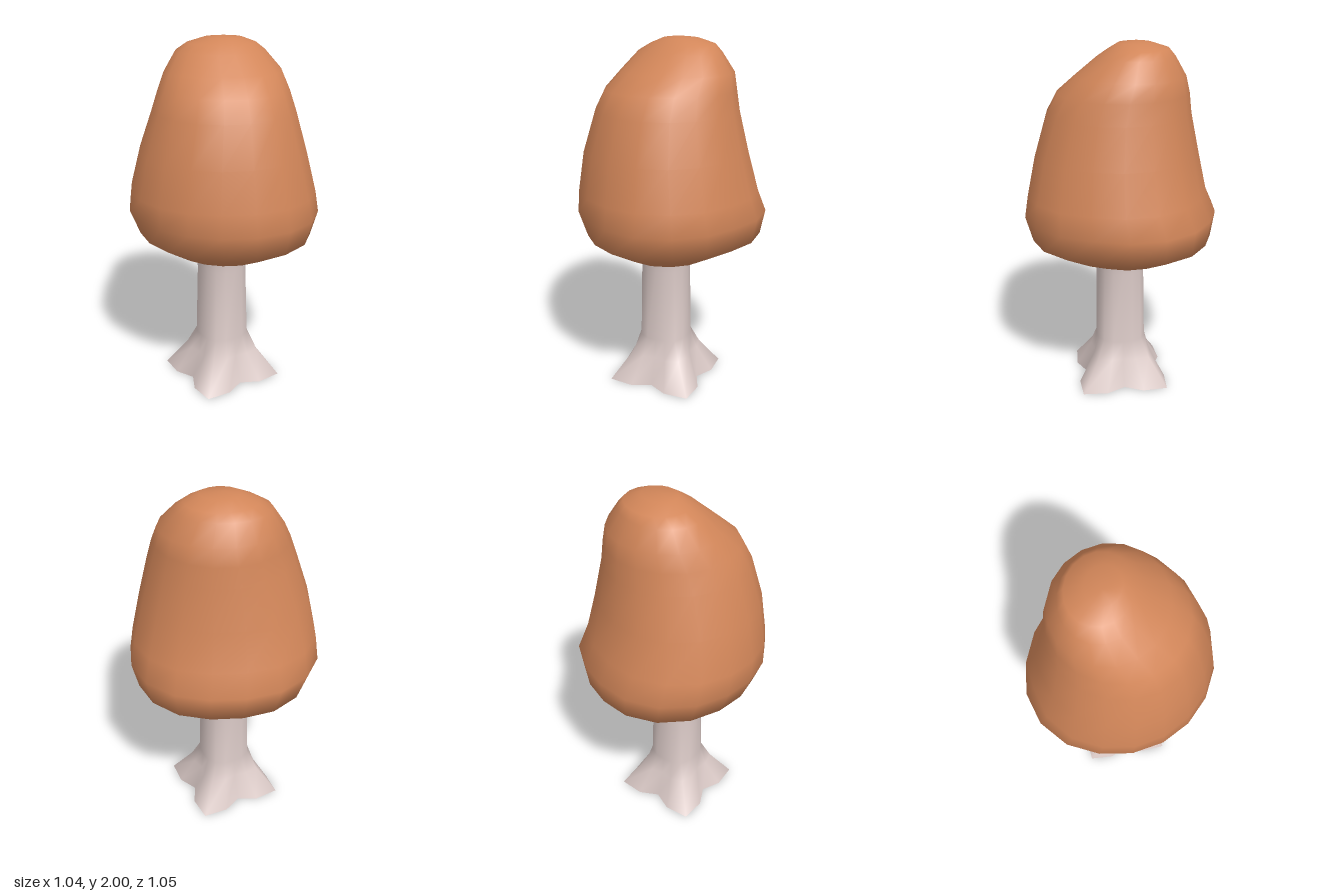
import * as THREE from 'three';

const crownMat = new THREE.MeshStandardMaterial({ color: 0xd28659 });
crownMat.name = 'orange foliage';
const barkMat = new THREE.MeshStandardMaterial({ color: 0xdccbc8 });
barkMat.name = 'pale bark';

// Smooth closed skin through rings; point(ring, angle) gives [x, y, z]
function loft(rings, sides, point, bottom, top) {
  const pos = [], index = [];
  for (const ring of rings)
    for (let j = 0; j < sides; j++) pos.push(...point(ring, (j / sides) * Math.PI * 2));
  for (let i = 0; i < rings.length - 1; i++)
    for (let j = 0; j < sides; j++) {
      const k = (j + 1) % sides, a = i * sides + j, b = i * sides + k;
      index.push(a, a + sides, b, b, a + sides, b + sides);
    }
  const cap = (centre, start, up) => {
    const c = pos.length / 3;
    pos.push(...centre);
    for (let j = 0; j < sides; j++) {
      const a = start + j, b = start + (j + 1) % sides;
      index.push(c, up ? b : a, up ? a : b);
    }
  };
  if (bottom) cap(bottom, 0, false);
  if (top) cap(top, (rings.length - 1) * sides, true);
  const g = new THREE.BufferGeometry();
  g.setAttribute('position', new THREE.Float32BufferAttribute(pos, 3));
  g.setIndex(index);
  g.computeVertexNormals();
  return g;
}

// Crown rings: height, min x, max x, back z, front z
const CROWN = [
  [0.81, -0.29, 0.29, -0.30, 0.29],
  [0.92, -0.47, 0.485, -0.50, 0.48],
  [1.06, -0.525, 0.52, -0.52, 0.52],
  [1.18, -0.515, 0.50, -0.465, 0.505],
  [1.40, -0.465, 0.45, -0.42, 0.47],
  [1.62, -0.39, 0.395, -0.38, 0.405],
  [1.73, -0.35, 0.365, -0.37, 0.345],
  [1.82, -0.31, 0.335, -0.35, 0.24],
  [1.92, -0.245, 0.25, -0.29, 0.12],
  [1.96, -0.18, 0.20, -0.26, 0.06],
  [1.99, -0.09, 0.12, -0.17, 0.01],
];

function crownPoint([y, x0, x1, z0, z1], t) {
  const c = Math.cos(t), s = Math.sin(t);
  // Fuller corners low down, flatter on the front right-hand side
  const low = THREE.MathUtils.clamp((1.7 - y) / 0.6, 0, 1);
  const corner = Math.abs(Math.sin(2 * t));
  const bulge = 1 + corner * low * (c < 0 && s > 0 ? -0.03 : 0.06);
  return [
    (x0 + x1) / 2 + ((x1 - x0) / 2) * c * bulge,
    y,
    (z0 + z1) / 2 + ((z1 - z0) / 2) * s * bulge,
  ];
}

// Trunk rings: height, valley radius, root tip radius
const TRUNK = [
  [0, 0.205, 0.35],
  [0.16, 0.155, 0.215],
  [0.27, 0.143, 0.155],
  [0.70, 0.138, 0.142],
  [0.85, 0.165, 0.165],
];

function trunkPoint([y, valley, tip], t) {
  const lobe = (1 + Math.cos(4 * (t - THREE.MathUtils.degToRad(22.5)))) / 2;
  const r = valley + (tip - valley) * lobe;
  return [r * Math.cos(t) - 0.008, y, r * Math.sin(t) + 0.008];
}

export function createModel() {
  const group = new THREE.Group();
  group.name = 'tree';

  const crown = new THREE.Mesh(
    loft(CROWN, 18, crownPoint, [0, 0.81, 0], [-0.01, 2, -0.08]), crownMat);
  crown.name = 'crown';

  const trunk = new THREE.Mesh(loft(TRUNK, 16, trunkPoint), barkMat);
  trunk.name = 'trunk';

  // Flat underside of the roots
  const base = new THREE.Mesh(
    loft([TRUNK[0]], 16, trunkPoint, [-0.008, 0, 0.008]), barkMat);
  base.name = 'rootUnderside';

  group.add(crown, trunk, base);
  return group;
}
